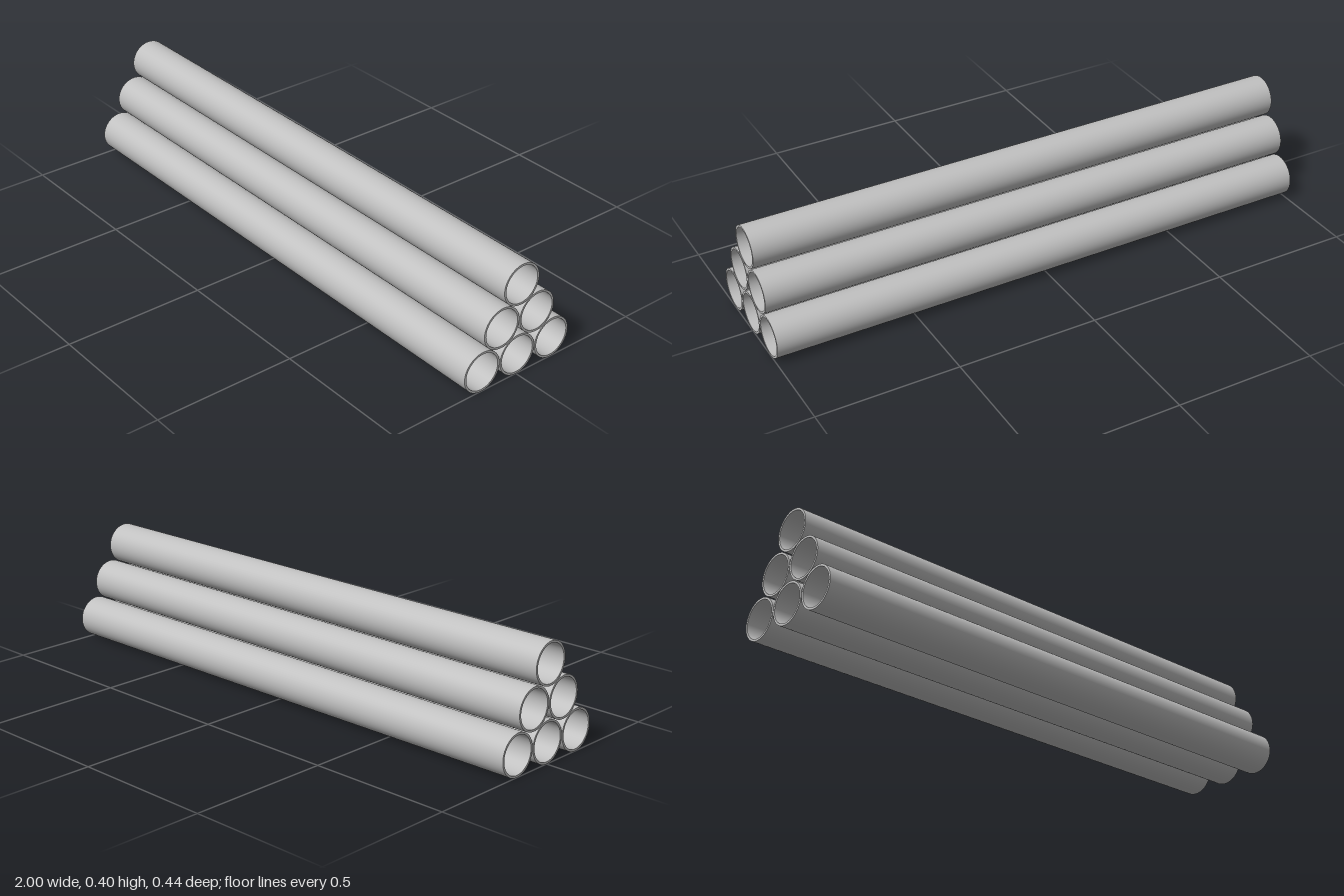
import * as THREE from 'three';
import { mergeGeometries } from 'three/addons/utils/BufferGeometryUtils.js';

const LENGTH = 2;
const OUTER = 0.073;
const INNER = 0.0655;
const SPACING = 0.1482;
const ROWS = 3;

// Hollow tube along x: outer wall, end rims and bore, with sharp edges between them
function pipeGeometry() {
  const h = LENGTH / 2;
  const profile = [[OUTER, -h], [OUTER, h], [INNER, h], [INNER, -h]]
    .map(([r, y]) => new THREE.Vector2(r, y));
  const bands = profile.map((p, i) =>
    new THREE.LatheGeometry([p, profile[(i + 1) % profile.length]], 64));
  return mergeGeometries(bands).rotateZ(-Math.PI / 2);
}

export function createModel() {
  const steel = new THREE.MeshStandardMaterial({ color: 0xc0c0c0 });
  steel.name = 'steel grey';
  const geometry = pipeGeometry();
  const stack = new THREE.Group();
  stack.name = 'pipeStack';

  // Triangular stack: three, two, then one pipe
  const rise = SPACING * Math.sqrt(3) / 2;
  for (let row = 0; row < ROWS; row++) {
    const count = ROWS - row;
    for (let i = 0; i < count; i++) {
      const pipe = new THREE.Mesh(geometry, steel);
      pipe.name = `pipeRow${row + 1}Number${i + 1}`;
      pipe.position.set(0, OUTER + row * rise, (i - (count - 1) / 2) * SPACING);
      stack.add(pipe);
    }
  }
  return stack;
}
